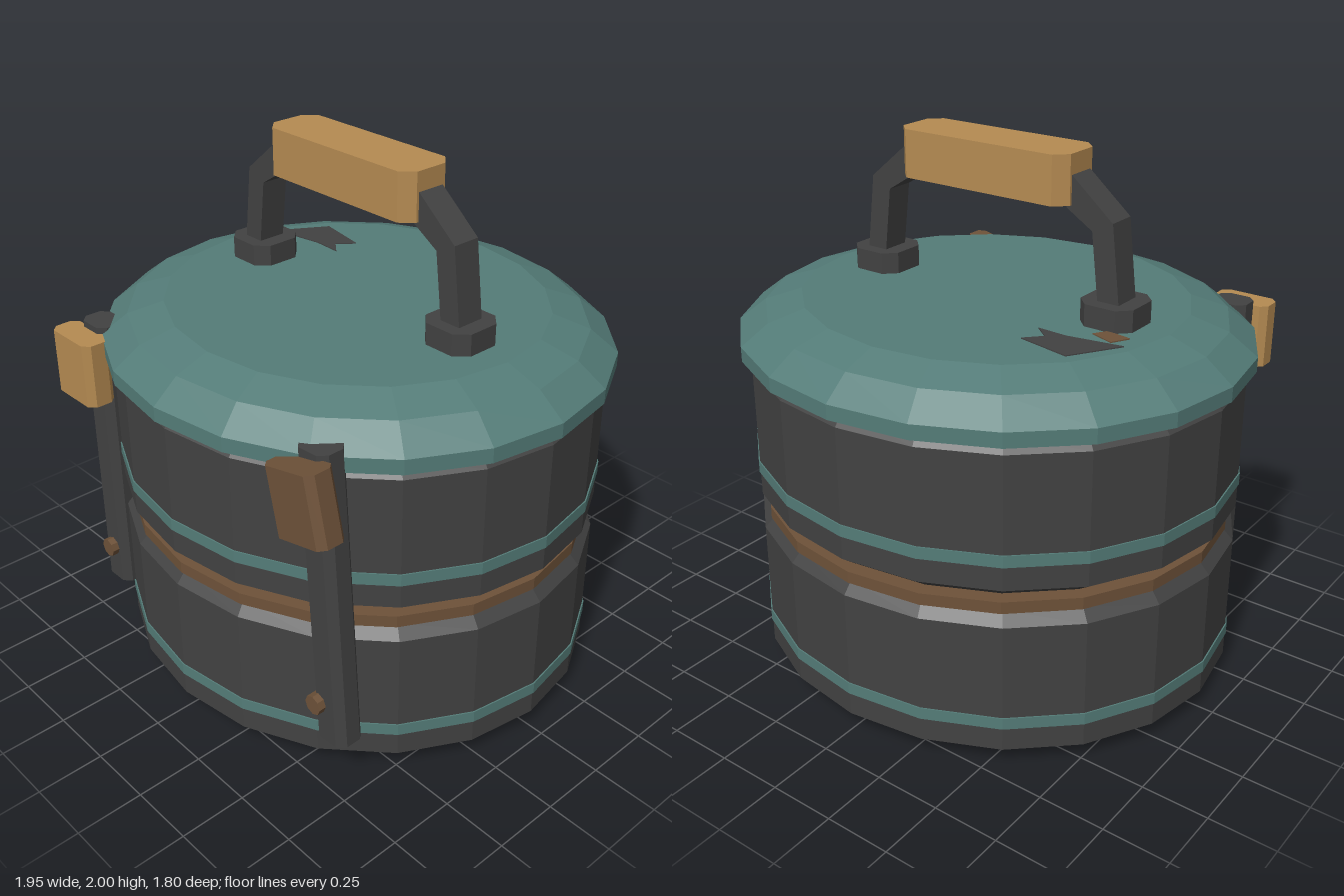
import * as THREE from 'three';

const paint = (name, color) => {
  const m = new THREE.MeshStandardMaterial({ color, flatShading: true });
  m.name = name;
  return m;
};

export function createModel() {
  const charcoal = paint('charcoal', 0x424242);
  const teal = paint('teal', 0x547c78);
  const tan = paint('tan wood', 0xb58b52);
  const brown = paint('brown wood', 0x6e5239);

  const model = new THREE.Group();
  model.name = 'lunchBox';

  const add = (name, geometry, material, parent = model) => {
    const mesh = new THREE.Mesh(geometry, material);
    mesh.name = name;
    parent.add(mesh);
    return mesh;
  };

  // Twenty-sided oval turned from a [radius, height] profile
  const oval = (name, profile, depth, material) => {
    const g = new THREE.LatheGeometry(profile.map(p => new THREE.Vector2(...p)), 20);
    g.scale(1, 1, depth);
    return add(name, g, material);
  };

  // Upright block with chamfered vertical edges, centred on its origin
  const block = (w, h, d, c) => {
    const x = w / 2, z = d / 2;
    const s = new THREE.Shape([
      [-x + c, -z], [x - c, -z], [x, -z + c], [x, z - c],
      [x - c, z], [-x + c, z], [-x, z - c], [-x, -z + c],
    ].map(p => new THREE.Vector2(...p)));
    const g = new THREE.ExtrudeGeometry(s, { depth: h, bevelEnabled: false });
    return g.translate(0, 0, -h / 2).rotateX(-Math.PI / 2);
  };

  // Two stacked bowls with painted stripes
  oval('lowerBowl', [[0, 0], [0.84, 0], [0.943, 0.07], [0.943, 0.57], [0.9, 0.615], [0, 0.615]], 0.917, charcoal);
  oval('upperBowl', [[0, 0.65], [0.85, 0.65], [0.943, 0.715], [0.943, 1.21], [0.9, 1.255], [0, 1.255]], 0.917, charcoal);
  for (const [name, y] of [['lowerStripe', 0.16], ['upperStripe', 0.805]]) {
    oval(name, [[0.94, y], [0.948, y], [0.948, y + 0.045], [0.94, y + 0.045]], 0.917, teal);
  }
  oval('seal', [[0, 0.61], [0.91, 0.61], [0.91, 0.655], [0, 0.655]], 0.927, brown);

  // Domed lid
  oval('lid', [[0, 1.25], [0.975, 1.25], [0.975, 1.305], [0.87, 1.385], [0.73, 1.43], [0, 1.43]], 0.923, teal);

  // Carrying handle: feet, bent arms and wooden grip
  const handle = new THREE.Group();
  handle.name = 'handle';
  model.add(handle);
  const arm = [[0.56, 1.5], [0.525, 1.79], [0.34, 1.945], [0.34, 1.815], [0.445, 1.75], [0.475, 1.5]];
  for (const side of [-1, 1]) {
    add('handleFoot', block(0.21, 0.085, 0.21, 0.045), charcoal, handle).position.set(side * 0.515, 1.468, 0);
    const s = new THREE.Shape(arm.map(([x, y]) => new THREE.Vector2(side * x, y)));
    const g = new THREE.ExtrudeGeometry(s, { depth: 0.11, bevelEnabled: false });
    add('handleArm', g.translate(0, 0, -0.055), charcoal, handle);
  }
  add('grip', block(0.72, 0.175, 0.22, 0.045), tan, handle).position.y = 1.9125;

  // Front latches; the second one hangs askew
  const latch = (name, x, tilt, padX, padY, padTilt, padMaterial) => {
    const group = new THREE.Group();
    group.name = name;
    model.add(group);
    const strap = add('strap', block(0.14, 1.13, 0.115, 0.028), charcoal, group);
    strap.position.set(x, 0.768, 0.685);
    strap.rotation.z = tilt;
    const pad = add('pad', block(0.232, 0.248, 0.112, 0.025), padMaterial, group);
    pad.position.set(padX, padY, 0.784);
    pad.rotation.z = padTilt;
    const rivet = add('rivet', new THREE.CylinderGeometry(0.037, 0.037, 0.06, 8), brown, group);
    rivet.rotation.x = Math.PI / 2;
    rivet.position.set(x < 0 ? x : 0.615, 0.355, 0.74);
  };
  latch('rightLatch', -0.62, 0, -0.62, 1.185, 0, tan);
  latch('leftLatch', 0.62, 0.068, 0.615, 1.185, 0.23, brown);

  // Thin inlays on the lid, given as [x, z] outlines
  const inlay = (name, outline, material) => {
    const s = new THREE.Shape(outline.map(([x, z]) => new THREE.Vector2(x, -z)));
    const g = new THREE.ExtrudeGeometry(s, { depth: 0.006, bevelEnabled: false });
    add(name, g.rotateX(-Math.PI / 2), material).position.y = 1.428;
  };
  inlay('darkInlay', [[-0.665, -0.185], [-0.555, -0.365], [-0.35, -0.325], [-0.405, -0.265], [-0.345, -0.215], [-0.46, -0.22]], charcoal);
  inlay('brownInlay', [[-0.61, -0.18], [-0.52, -0.15], [-0.55, -0.1], [-0.645, -0.115]], brown);

  return model;
}
